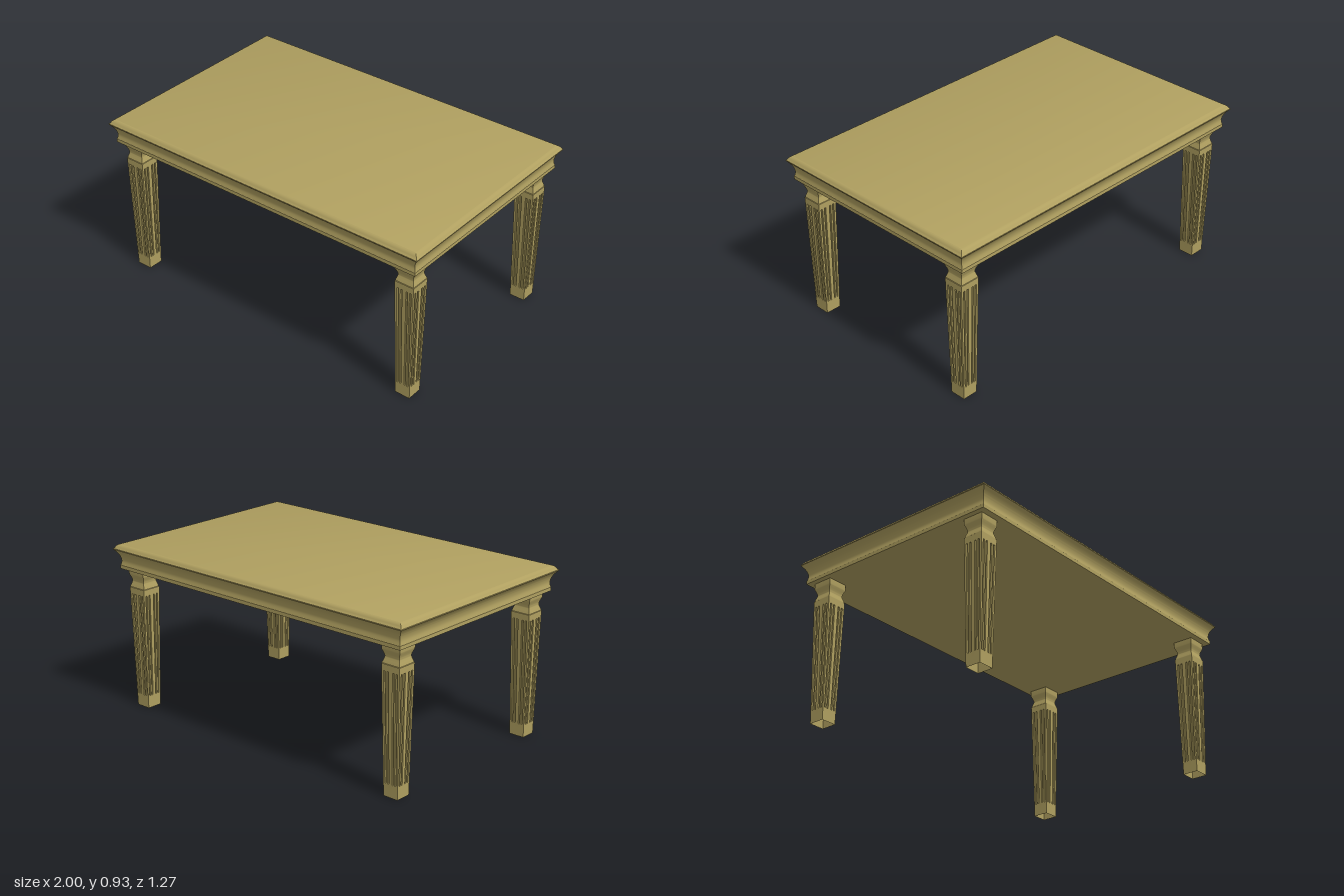
import * as THREE from 'three';
import { toCreasedNormals } from 'three/addons/utils/BufferGeometryUtils.js';

const wood = new THREE.MeshStandardMaterial({ color: 0xb0a060, side: THREE.DoubleSide });

// Skins a stack of rings; each ring is a list of [x, y, z] running counter-clockwise from above.
function loft(rings, capped) {
  const n = rings[0].length;
  const index = [];
  for (let r = 0; r < rings.length - 1; r++) {
    for (let i = 0; i < n; i++) {
      const a = r * n + i, b = r * n + (i + 1) % n;
      index.push(a, b, b + n, a, b + n, a + n);
    }
  }
  if (capped) {
    const t = (rings.length - 1) * n;
    for (let i = 1; i < n - 1; i++) index.push(0, i + 1, i, t, t + i, t + i + 1);
  }
  const geometry = new THREE.BufferGeometry();
  geometry.setAttribute('position', new THREE.Float32BufferAttribute(rings.flat(2), 3));
  geometry.setIndex(index);
  return toCreasedNormals(geometry, 0.5);
}

// Square ring with four grooves on every side
function legRing(y, half, depth) {
  const side = [[-half, half]];
  for (const centre of [-0.68, -0.3, 0.3, 0.68]) {
    for (const [du, dd] of [[-0.09, 0], [-0.07, 0.7], [0, 1], [0.07, 0.7], [0.09, 0]]) {
      side.push([(centre + du) * half, half - dd * depth]);
    }
  }
  const ring = [];
  for (let k = 0; k < 4; k++) {
    const c = Math.round(Math.cos(k * Math.PI / 2)), s = Math.round(Math.sin(k * Math.PI / 2));
    for (const [u, v] of side) ring.push([u * c + v * s, y, -u * s + v * c]);
  }
  return ring;
}

function legGeometry() {
  const groove = 0.01;
  // height, half width, groove depth
  const profile = [
    [0, 0.0435, 0], [0.07, 0.0448, 0], [0.072, 0.0449, groove],
    [0.648, 0.0553, groove], [0.65, 0.0553, 0], [0.685, 0.056, 0], [0.687, 0.0535, 0],
  ];
  // Waisted neck flaring into the square capital
  const neck = new THREE.SplineCurve([
    [0.692, 0.0535], [0.705, 0.049], [0.722, 0.0445], [0.74, 0.049], [0.755, 0.0555],
  ].map(([y, h]) => new THREE.Vector2(y, h)));
  for (const p of neck.getPoints(12)) profile.push([p.x, p.y, 0]);
  profile.push([0.762, 0.0565, 0], [0.792, 0.0565, 0]);
  return loft(profile.map((p) => legRing(...p)), false);
}

function topGeometry() {
  const X = 1, Z = 0.636;
  // height, inset from the widest edge
  const cove = new THREE.SplineCurve([
    [0.812, 0.027], [0.835, 0.031], [0.86, 0.026], [0.88, 0.015], [0.898, 0],
  ].map(([y, o]) => new THREE.Vector2(y, o)));
  const profile = [
    [0.79, 0.025], [0.81, 0.025],
    ...cove.getPoints(16).map((p) => [p.x, p.y]),
    [0.903, 0], [0.909, 0.007], [0.915, 0.01], [0.921, 0.015], [0.925, 0.021], [0.927, 0.026],
  ];
  return loft(profile.map(([y, o]) => [
    [-X + o, y, Z - o], [X - o, y, Z - o], [X - o, y, -Z + o], [-X + o, y, -Z + o],
  ]), true);
}

export function createModel() {
  const table = new THREE.Group();
  table.name = 'table';

  // Moulded table top
  const top = new THREE.Mesh(topGeometry(), wood);
  top.name = 'tableTop';
  table.add(top);

  // Four tapered, fluted legs, open underneath
  const leg = legGeometry();
  for (const [sx, xName] of [[1, 'Left'], [-1, 'Right']]) {
    for (const [sz, zName] of [[1, 'front'], [-1, 'back']]) {
      const mesh = new THREE.Mesh(leg, wood);
      mesh.name = `${zName}${xName}Leg`;
      mesh.position.set(sx * 0.89, 0, sz * 0.52);
      table.add(mesh);
    }
  }
  return table;
}
